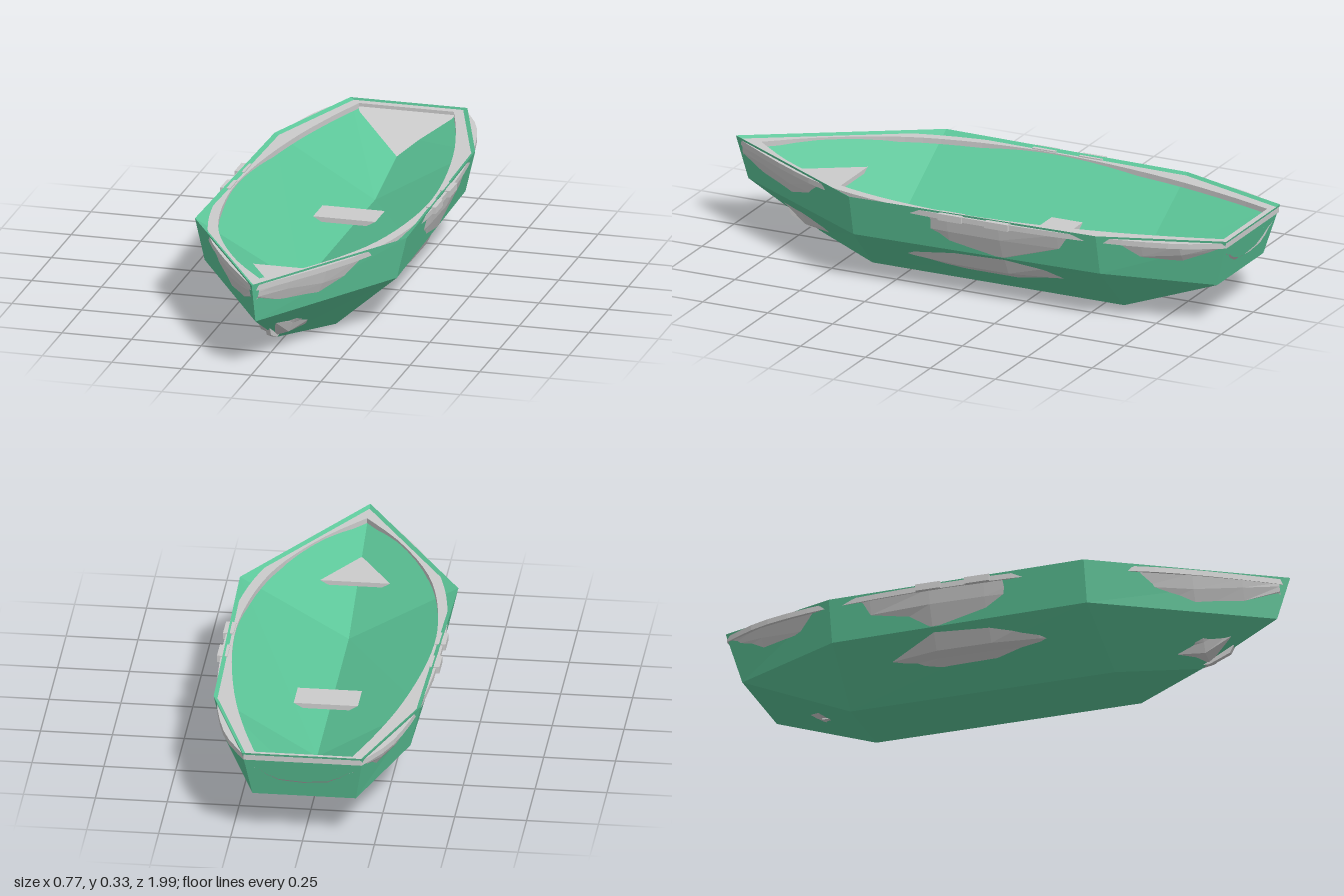
import * as THREE from 'three';

const grey = new THREE.MeshStandardMaterial({ color: 0xcccccc, flatShading: true, side: THREE.DoubleSide });
const green = new THREE.MeshStandardMaterial({ color: 0x5cc598, flatShading: true, side: THREE.DoubleSide });

function add(group, name, geometry, material, x = 0, y = 0, z = 0) {
  const mesh = new THREE.Mesh(geometry, material);
  mesh.name = name;
  mesh.position.set(x, y, z);
  group.add(mesh);
  return mesh;
}

// Skins neighbouring cross-sections (arrays of [x, y, z]) with triangles
function loft(sections) {
  const out = [];
  for (let i = 0; i < sections.length - 1; i++) {
    for (let j = 0; j < sections[i].length - 1; j++) {
      const a = sections[i][j], b = sections[i + 1][j];
      const c = sections[i + 1][j + 1], d = sections[i][j + 1];
      out.push(...a, ...b, ...c, ...a, ...c, ...d);
    }
  }
  const geometry = new THREE.BufferGeometry();
  geometry.setAttribute('position', new THREE.Float32BufferAttribute(out, 3));
  geometry.computeVertexNormals();
  return geometry;
}

const mirrorX = ([x, y, z]) => [-x, y, z];

// Full cross-section, right half reversed so the loop runs from one side to the other
const both = (half) => [...half, ...half.slice(0, -1).reverse().map(mirrorX)];

// Plan curve given as [x, z] on one side, smoothed and mirrored, as shape points
function planLoop(points) {
  const curve = new THREE.SplineCurve(points.map(([x, z]) => new THREE.Vector2(x, -z)));
  const side = curve.getPoints(28);
  return [...side, ...side.slice(0, -1).reverse().map((p) => new THREE.Vector2(-p.x, p.y))];
}

export function createModel() {
  const boat = new THREE.Group();
  boat.name = 'rowingBoat';

  // Faceted shell: rim, chine, bottom corner and centre at each station
  const stations = [
    [[0.21, 0.327, -1], [0.18, 0.15, -0.95], [0.18, 0.15, -0.95], [0, 0.15, -0.95]],
    [[0.36, 0.327, -0.57], [0.325, 0.178, -0.57], [0.135, 0, -0.57], [0, 0, -0.57]],
    [[0.38, 0.327, 0.37], [0.345, 0.178, 0.37], [0.135, 0, 0.4], [0, 0, 0.4]],
    [[0, 0.327, 0.993], [0, 0.178, 0.945], [0, 0.03, 0.67], [0, 0.03, 0.67]],
  ];
  add(boat, 'shell', loft(stations.map(both)), green);

  // Sloping V floor inside the shell
  const centres = [[0, 0.21, -0.967], [0, 0.115, -0.57], [0, 0.115, 0.36], [0, 0.327, 0.993]];
  add(boat, 'innerFloor', loft(stations.map((s, i) => [mirrorX(s[0]), centres[i], s[0]])), green);

  // Flat stern panel of the shell
  const [rim, chine] = stations[0];
  add(boat, 'sternPanel', loft([[rim, mirrorX(rim)], [chine, mirrorX(chine)]]), green);

  // Rounded planked hull: z, half width, fullness low down, keel height
  const lines = [
    [-0.985, 0.21, 0.75, 0.22], [-0.85, 0.277, 0.7, 0.125], [-0.72, 0.313, 0.62, 0.052],
    [-0.58, 0.343, 0.68, 0.04], [-0.42, 0.362, 0.85, 0.04], [-0.2, 0.374, 0.98, 0.04],
    [0, 0.372, 0.98, 0.04], [0.17, 0.363, 0.93, 0.04], [0.32, 0.335, 0.84, 0.04],
    [0.54, 0.272, 0.66, 0.04], [0.7, 0.188, 0.5, 0.046], [0.85, 0.095, 0.4, 0.15],
    [0.96, 0.018, 0.4, 0.24],
  ];
  // Width and height fractions from gunwale to keel, with how far fullness applies
  const profile = [
    [1, 1, 0], [0.97, 0.8, 0.1], [0.9, 0.53, 0.35], [0.865, 0.48, 0.6],
    [0.79, 0.25, 1], [0.7, 0.2, 1], [0.53, 0.07, 1], [0, 0, 1],
  ];
  const hullSections = lines.map(([z, w, full, keel]) => both(profile.map(([fx, fy, t]) =>
    [w * fx * (1 - (1 - full) * t), keel + (0.305 - keel) * fy, z])));
  add(boat, 'plankedHull', loft(hullSections), grey);

  // Gunwale ring around the top
  const ring = new THREE.Shape(planLoop([
    [0.205, -0.998], [0.285, -0.85], [0.337, -0.65], [0.364, -0.43], [0.376, -0.2], [0.376, 0.02],
    [0.365, 0.18], [0.333, 0.37], [0.278, 0.54], [0.167, 0.74], [0.03, 0.945], [0, 0.975],
  ]));
  ring.holes.push(new THREE.Path(planLoop([
    [0.17, -0.97], [0.225, -0.8], [0.282, -0.58], [0.325, -0.33], [0.346, -0.1], [0.341, 0.1],
    [0.306, 0.33], [0.245, 0.52], [0.13, 0.73], [0, 0.895],
  ])));
  const gunwale = add(boat, 'gunwale',
    new THREE.ExtrudeGeometry(ring, { depth: 0.019, bevelEnabled: false }), grey, 0, 0.3, 0);
  gunwale.rotation.x = -Math.PI / 2;

  // Oarlock blocks in pairs along each side
  for (const side of [-1, 1]) {
    for (const z of [-0.2, -0.02]) {
      add(boat, 'oarlock', new THREE.BoxGeometry(0.036, 0.024, 0.09), grey, side * 0.369, 0.311, z);
    }
  }

  // Middle bench
  add(boat, 'middleSeat', new THREE.BoxGeometry(0.28, 0.018, 0.12), grey, 0, 0.17, -0.23);

  // Bow bench, tapering forward
  const bow = new THREE.Shape([[-0.16, -0.545], [0.16, -0.545], [0.05, -0.74], [-0.05, -0.74]]
    .map(([x, y]) => new THREE.Vector2(x, y)));
  const bowSeat = add(boat, 'bowSeat',
    new THREE.ExtrudeGeometry(bow, { depth: 0.016, bevelEnabled: false }), grey, 0, 0.228, 0);
  bowSeat.rotation.x = -Math.PI / 2;

  // Raked inner face of the transom
  add(boat, 'transomFace', loft([
    [[-0.175, 0.312, -0.975], [0.175, 0.312, -0.975]],
    [[-0.1, 0.165, -0.83], [0.1, 0.165, -0.83]],
  ]), grey);

  // Thin keel running under the planks
  const keelShape = new THREE.Shape([
    [-0.72, 0.048], [0.7, 0.04], [0.775, 0.072], [0.79, 0.1], [0.6, 0.08], [-0.7, 0.08],
  ].map(([z, y]) => new THREE.Vector2(-z, y)));
  const keel = add(boat, 'keel',
    new THREE.ExtrudeGeometry(keelShape, { depth: 0.016, bevelEnabled: false }), grey, -0.008, 0, 0);
  keel.rotation.y = Math.PI / 2;

  return boat;
}
